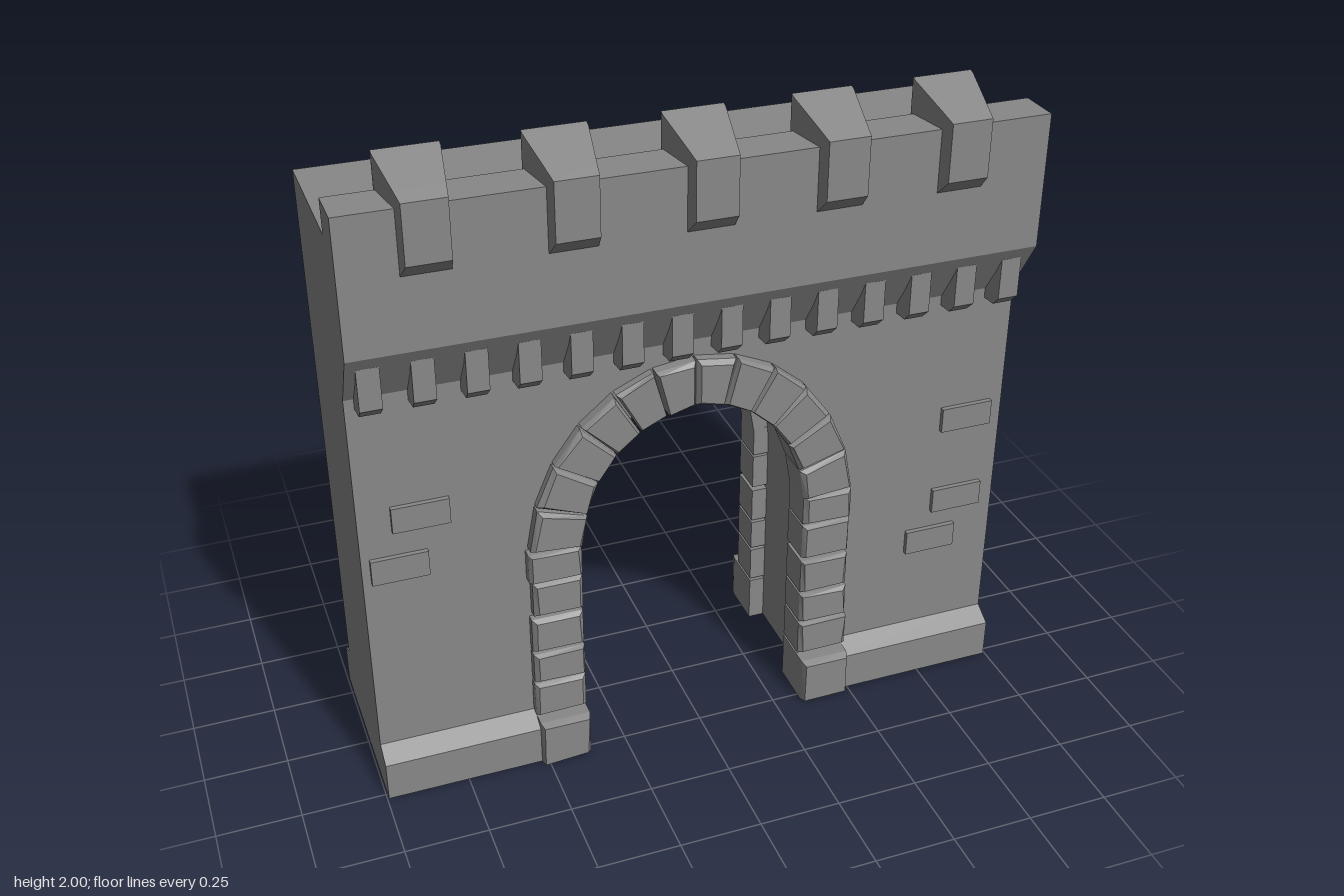
import * as THREE from 'three';

const stone = new THREE.MeshStandardMaterial({ color: 0x888888 });
stone.name = 'grey stone';

const HALF = 0.995, FRONT = 0.21, BACK = -0.26;
const SPRING = 0.7; // height where the arch starts to curve

let seed = 7;
const jitter = (amount) => {
  seed = (seed * 16807) % 2147483647;
  return (seed / 2147483647 - 0.5) * 2 * amount;
};

function add(parent, name, geometry) {
  const mesh = new THREE.Mesh(geometry, stone);
  mesh.name = name;
  parent.add(mesh);
  return mesh;
}

// Solid through four-cornered sections, each { z, pts } with z ascending
function loft(sections) {
  const pos = [];
  const v = (s, j) => [...s.pts[j % 4], s.z];
  const quad = (a, b, c, d) => pos.push(...a, ...b, ...c, ...a, ...c, ...d);
  const first = sections[0], last = sections[sections.length - 1];
  quad(v(first, 3), v(first, 2), v(first, 1), v(first, 0));
  quad(v(last, 0), v(last, 1), v(last, 2), v(last, 3));
  for (let i = 0; i < sections.length - 1; i++) {
    const s = sections[i], t = sections[i + 1];
    for (let j = 0; j < 4; j++) quad(v(s, j), v(s, j + 1), v(t, j + 1), v(t, j));
  }
  const g = new THREE.BufferGeometry();
  g.setAttribute('position', new THREE.Float32BufferAttribute(pos, 3));
  g.computeVertexNormals();
  return g;
}

const rect = (x0, x1, y0, y1) => [[x0, y0], [x1, y0], [x1, y1], [x0, y1]];
const section = (z, halfWidth, y0, y1) => ({ z, pts: rect(-halfWidth, halfWidth, y0, y1) });

// Profile of [z, y] points run along x
function alongX(profile, x0, x1) {
  const shape = new THREE.Shape(profile.map(([z, y]) => new THREE.Vector2(-z, y)));
  const g = new THREE.ExtrudeGeometry(shape, { depth: x1 - x0, bevelEnabled: false });
  return g.rotateY(Math.PI / 2).translate(x0, 0, 0);
}

// Rough block with a bevelled, slightly uneven face
function block(pts, z0, z1, bevel = 0.015) {
  const cx = pts.reduce((s, p) => s + p[0], 0) / 4;
  const cy = pts.reduce((s, p) => s + p[1], 0) / 4;
  const face = pts.map(([x, y]) => {
    const k = 0.13 + jitter(0.07);
    return [x + (cx - x) * k, y + (cy - y) * k];
  });
  return loft([{ z: z0, pts }, { z: z1 - bevel, pts }, { z: z1, pts: face }]);
}

// Surround of the opening: plinth blocks, jamb blocks and arch blocks
function archSurround(name) {
  const group = new THREE.Group();
  group.name = name;
  const inner = 0.35, outer = 0.505, depth = -0.08;

  const courses = [[0.16, 0.275], [0.285, 0.385], [0.395, 0.51], [0.525, 0.64], [0.648, 0.745]];
  for (const side of [-1, 1]) {
    const column = (y0, y1, out) =>
      side > 0 ? rect(inner, out, y0, y1) : rect(-out, -inner, y0, y1);
    add(group, 'plinthBlock', block(column(0, 0.15, outer), depth, 0.087, 0.025));
    for (const [y0, y1] of courses) {
      add(group, 'jambBlock', block(column(y0, y1, outer + jitter(0.006)), depth, 0.042 + jitter(0.004)));
    }
  }

  const count = 12, start = 0.09, step = (Math.PI - 2 * start) / count;
  const at = (rx, ry, a) => [rx * Math.cos(a), SPRING + ry * Math.sin(a)];
  for (let i = 0; i < count; i++) {
    const a = start + i * step + 0.006, b = start + (i + 1) * step - 0.006;
    const pts = [at(inner, 0.44, a), at(outer, 0.585, a), at(outer, 0.585, b), at(inner, 0.44, b)];
    add(group, 'archBlock', block(pts, depth, 0.042 + jitter(0.005)));
  }
  return group;
}

export function createModel() {
  const model = new THREE.Group();
  model.name = 'castleGate';

  // Wall with arched passage
  const outline = new THREE.Shape();
  outline.moveTo(-HALF, 0);
  outline.lineTo(-0.395, 0);
  for (let i = 0; i <= 14; i++) {
    const a = Math.PI * (1 - i / 14);
    outline.lineTo(0.395 * Math.cos(a), SPRING + 0.49 * Math.sin(a));
  }
  outline.lineTo(0.395, 0);
  outline.lineTo(HALF, 0);
  outline.lineTo(HALF, 1.8);
  outline.lineTo(-HALF, 1.8);
  const wall = new THREE.ExtrudeGeometry(outline, { depth: FRONT - BACK, bevelEnabled: false });
  add(model, 'wall', wall.translate(0, 0, BACK));

  // Overhanging parapet
  add(model, 'parapet', alongX(
    [[FRONT, 1.335], [0.31, 1.5], [0.31, 1.9], [0.18, 1.9], [0.18, 1.8], [FRONT, 1.8]], -HALF, HALF));

  // Sloped footings on both faces
  for (const [x0, x1] of [[-HALF, -0.43], [0.43, HALF]]) {
    add(model, 'frontFooting', alongX([[FRONT, 0], [0.27, 0], [0.27, 0.125], [FRONT, 0.16]], x0, x1));
    add(model, 'backFooting', alongX([[BACK, 0], [-0.325, 0], [-0.325, 0.125], [BACK, 0.16]], x0, x1));
  }

  // Merlons
  const merlon = loft([
    section(0.165, 0.088, 1.8, 2.0),
    section(0.18, 0.088, 1.72, 1.995),
    section(0.31, 0.067, 1.715, 1.947),
    section(0.355, 0.06, 1.76, 1.93),
  ]);
  for (const x of [-0.768, -0.382, -0.004, 0.366, 0.726]) add(model, 'merlon', merlon).position.x = x;

  // Row of corbels under the parapet
  const corbel = loft([
    section(0.19, 0.033, 1.305, 1.46),
    section(0.255, 0.029, 1.305, 1.46),
    section(0.286, 0.031, 1.335, 1.46),
  ]);
  for (let i = 0; i < 14; i++) add(model, 'corbel', corbel).position.x = -0.935 + i * 0.1437;

  // Raised bricks on the front
  for (const [x, y] of [[-0.818, 0.94], [-0.888, 0.78], [0.873, 0.91], [0.863, 0.62], [0.783, 0.48]]) {
    add(model, 'raisedBrick', new THREE.BoxGeometry(0.165, 0.08, 0.03)).position.set(x, y, FRONT);
  }

  // Block surrounds on both faces
  const front = archSurround('frontArch');
  front.position.set(-0.016, 0, FRONT);
  const back = archSurround('backArch');
  back.rotation.y = Math.PI;
  back.position.set(-0.005, 0, BACK);
  model.add(front, back);

  return model;
}
